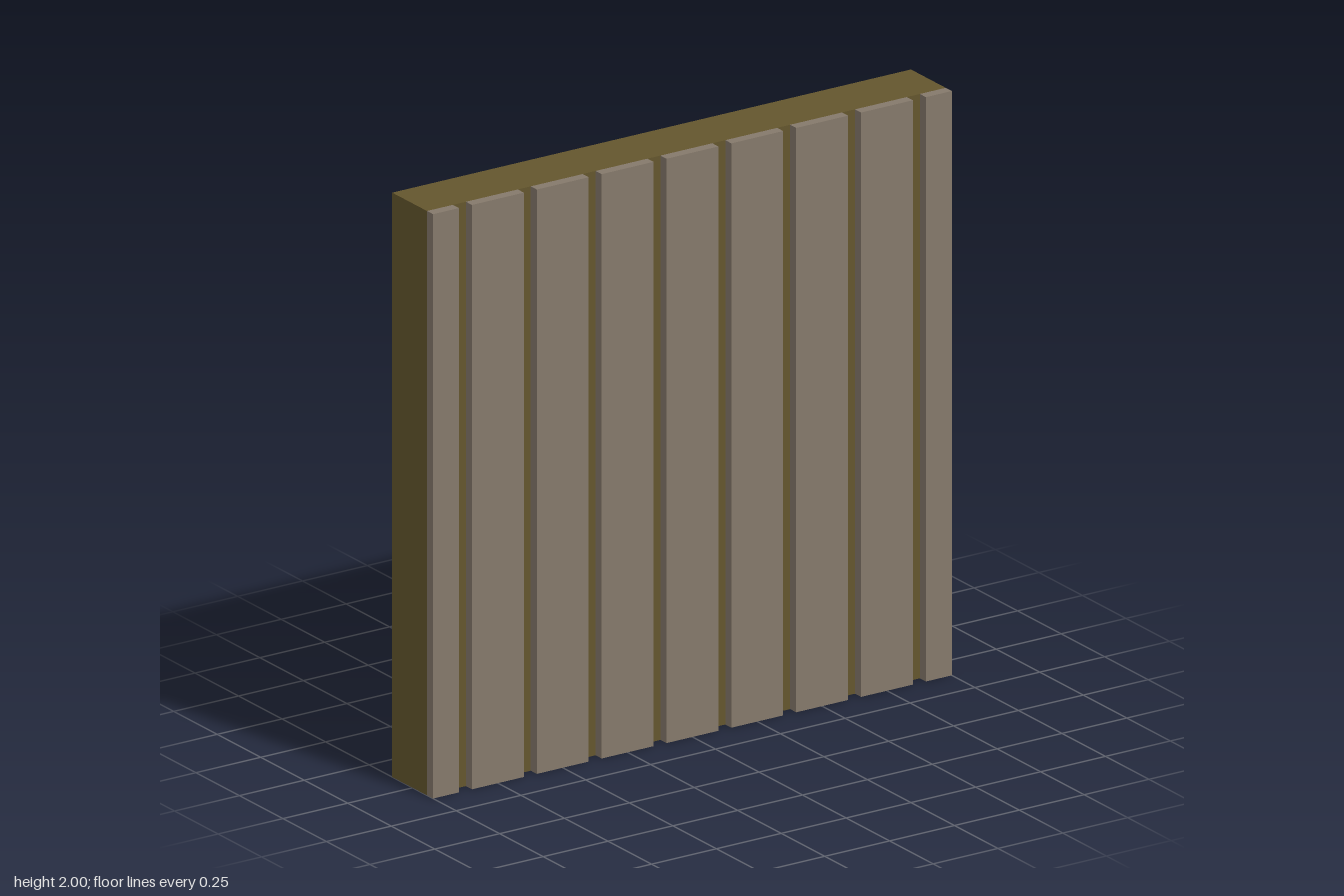
import * as THREE from 'three';

const HEIGHT = 2, BACK = -0.1175, SEAM = 0.0825, FRONT = 0.1175;

function slab(name, x0, x1, z0, z1, material) {
  const mesh = new THREE.Mesh(new THREE.BoxGeometry(x1 - x0, HEIGHT, z1 - z0), material);
  mesh.name = name;
  mesh.position.set((x0 + x1) / 2, HEIGHT / 2, (z0 + z1) / 2);
  return mesh;
}

export function createModel() {
  const group = new THREE.Group();
  group.name = 'slattedWallPanel';
  const backingMaterial = new THREE.MeshStandardMaterial({ color: 0x64562d });
  const slatMaterial = new THREE.MeshStandardMaterial({ color: 0x85796b });

  // Thick backing board
  group.add(slab('backingBoard', -1, 1, BACK, SEAM, backingMaterial));

  // Vertical slats on a regular pitch; the outermost two are cut at the edges
  const pitch = 0.25, halfWidth = 0.1;
  for (let i = -4; i <= 4; i++) {
    const x0 = Math.max(-1, i * pitch - halfWidth);
    const x1 = Math.min(1, i * pitch + halfWidth);
    group.add(slab('slat' + (i + 5), x0, x1, SEAM, FRONT, slatMaterial));
  }
  return group;
}
